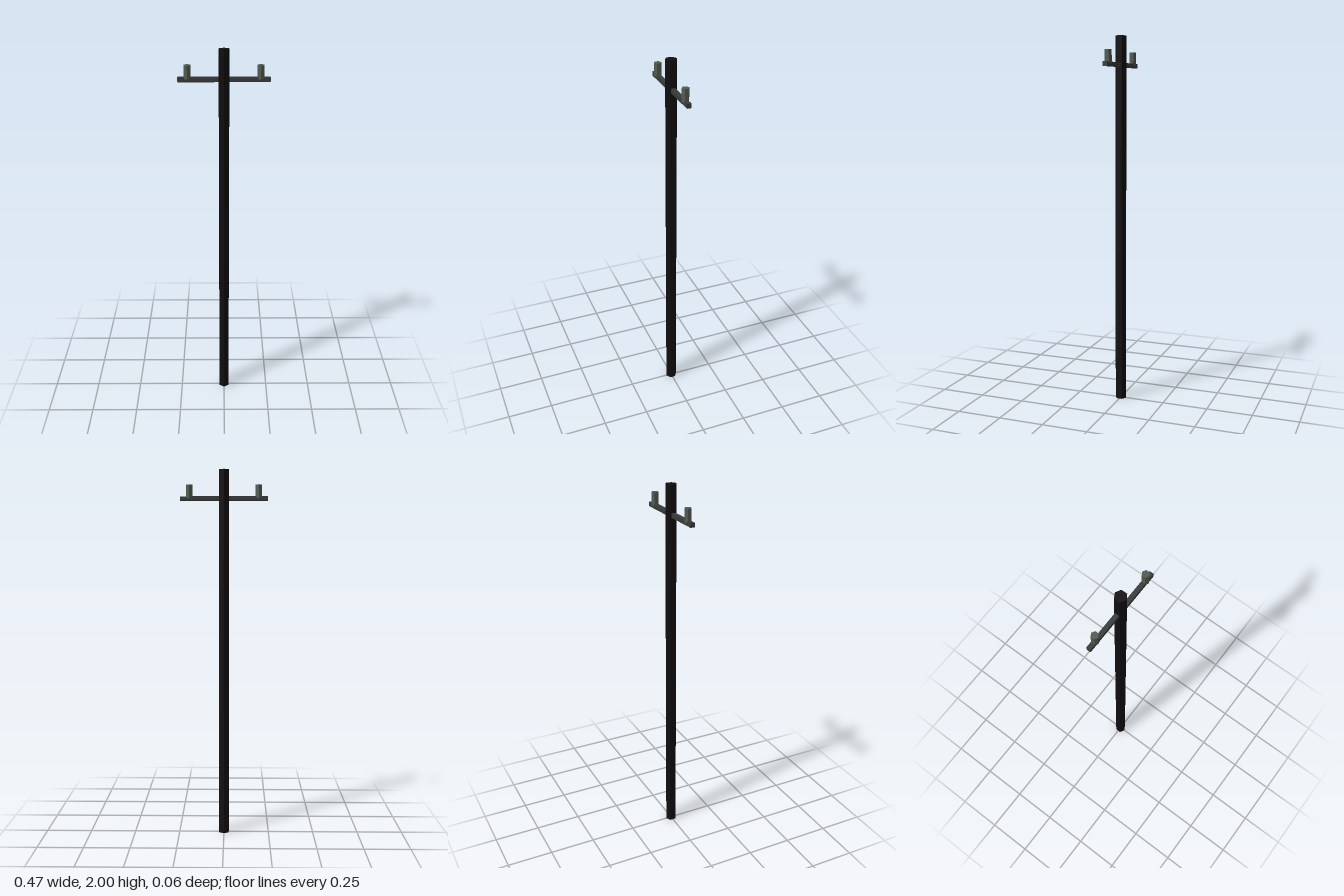
import * as THREE from 'three';

export function createModel() {
  const model = new THREE.Group();

  const add = (name, geometry, color, x, y) => {
    const material = new THREE.MeshStandardMaterial({ color, flatShading: true });
    const mesh = new THREE.Mesh(geometry, material);
    mesh.name = name;
    mesh.position.set(x, y, 0);
    model.add(mesh);
  };

  // Hexagonal pole, with corners toward front and back
  add('pole', new THREE.CylinderGeometry(0.031, 0.031, 2, 6), 0x110d0f, 0, 1);

  // Crossarm running through the pole
  add('crossarm', new THREE.BoxGeometry(0.468, 0.023, 0.023), 0x383c3b, 0, 1.848);

  // Hexagonal insulators standing on the arm
  for (const side of [1, -1]) {
    add(side > 0 ? 'leftInsulator' : 'rightInsulator',
      new THREE.CylinderGeometry(0.0195, 0.0195, 0.07, 6), 0x535b51, side * 0.185, 1.886);
  }

  return model;
}
